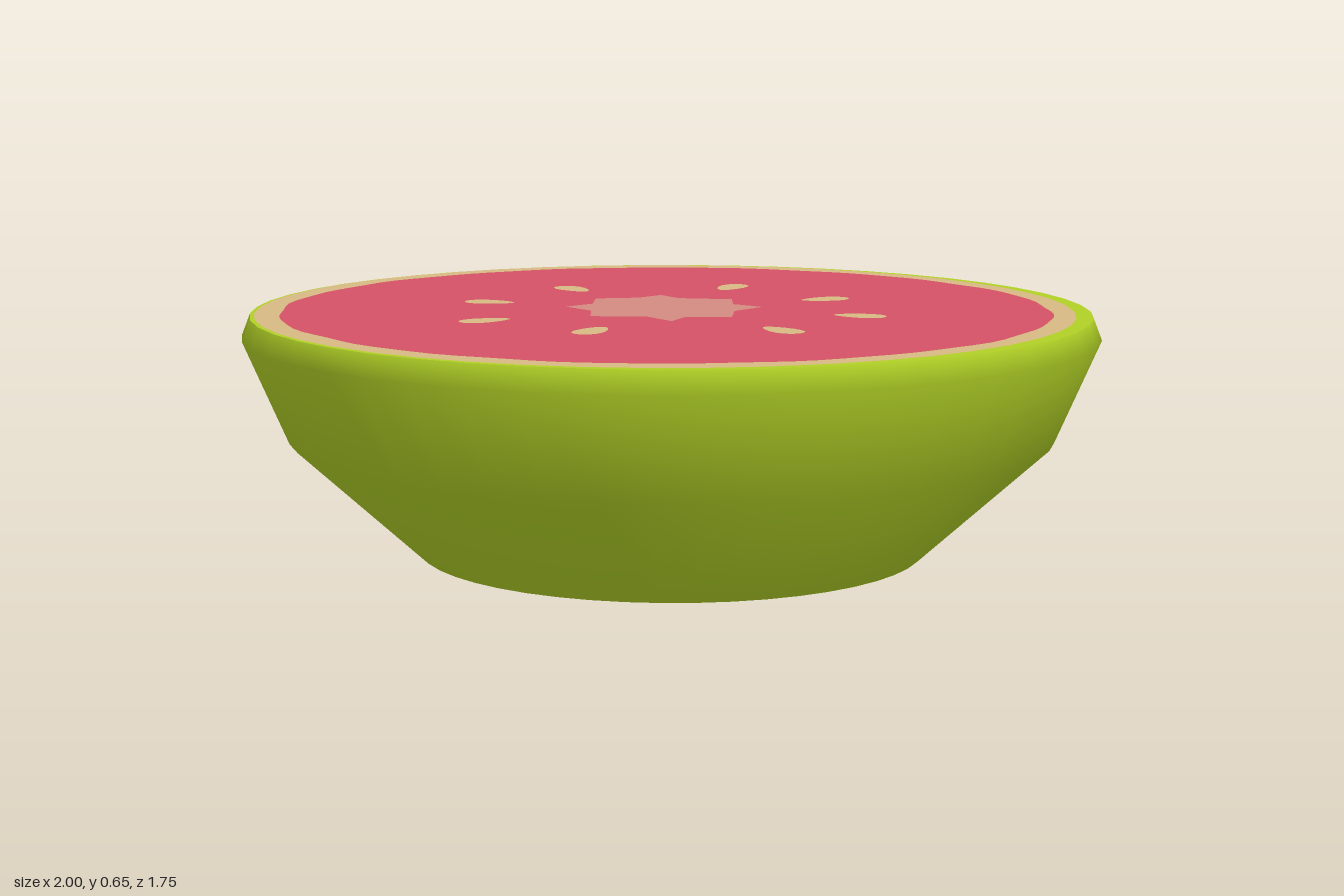
import * as THREE from 'three';

const SEGMENTS = 48;
const DEPTH = 0.873; // z squash of the whole fruit
const TOP = 0.65;

function material(name, color) {
  const m = new THREE.MeshStandardMaterial({ color });
  m.name = name;
  return m;
}

// Outline points are [x, z] pairs
function ellipse(cx, cz, rx, rz, n = SEGMENTS, wobble = 0) {
  return Array.from({ length: n }, (_, i) => {
    const a = (i / n) * Math.PI * 2;
    const k = 1 + wobble * Math.sin(a * 17) * Math.cos(a * 5);
    return [cx + rx * k * Math.cos(a), cz + rz * k * Math.sin(a)];
  });
}

// Teardrop seed, pointed end towards the middle
function seedOutline([cx, cz]) {
  const a = Math.atan2(cz + 0.03, cx + 0.01);
  return Array.from({ length: 16 }, (_, i) => {
    const t = (i / 16) * Math.PI * 2;
    const u = 0.062 * Math.cos(t);
    const v = 0.034 * Math.sin(t) * (1 + 0.3 * Math.cos(t));
    return [cx + u * Math.cos(a) - v * Math.sin(a), cz + u * Math.sin(a) + v * Math.cos(a)];
  });
}

// Flat face with holes, looking up or down
function flatFace(name, outline, holes, y, up, mat) {
  const s = up ? -1 : 1;
  const points = (list) => list.map(([x, z]) => new THREE.Vector2(x, s * z));
  const shape = new THREE.Shape(points(outline));
  shape.holes = holes.map((h) => new THREE.Path(points(h)));
  const geo = new THREE.ShapeGeometry(shape);
  geo.rotateX((s * Math.PI) / 2);
  geo.translate(0, y, 0);
  const mesh = new THREE.Mesh(geo, mat);
  mesh.name = name;
  return mesh;
}

function shell(name, profile, mat) {
  const geo = new THREE.LatheGeometry(profile.map(([r, y]) => new THREE.Vector2(r, y)), SEGMENTS);
  geo.scale(1, 1, DEPTH);
  const mesh = new THREE.Mesh(geo, mat);
  mesh.name = name;
  return mesh;
}

export function createModel() {
  const green = material('rind green', 0xb0d026);
  const cream = material('pith and seed cream', 0xd6b982);
  const pink = material('flesh pink', 0xd45266);
  const rose = material('core rose', 0xd38a80);

  const group = new THREE.Group();
  group.name = 'halfFruit';

  // Rind: smooth side wall and a separate, creased base
  group.add(shell('rindSide', [[0.6, 0.08], [0.9, 0.36], [1, 0.6], [0.98, TOP]], green));
  group.add(shell('rindBase', [[0.25, 0], [0.6, 0.08]], green));

  // Outlines on the cut face
  const rim = ellipse(0, 0, 0.98, 0.98 * DEPTH);
  const pith = ellipse(-0.015, -0.008, 0.957, 0.843);
  const flesh = ellipse(-0.013, -0.01, 0.9, 0.79, 96, 0.006);
  const star = [
    [-0.035, -0.25], [0.01, -0.195], [0.14, -0.18], [0.145, -0.095],
    [0.215, -0.05], [0.15, 0.02], [0.145, 0.12], [0.04, 0.12],
    [0.01, 0.19], [-0.05, 0.12], [-0.18, 0.12], [-0.185, 0.03],
    [-0.25, -0.035], [-0.19, -0.09], [-0.19, -0.18], [-0.085, -0.2],
  ];
  const seeds = [
    [-0.26, -0.355], [0.135, -0.405], [0.365, -0.195], [0.44, 0.085],
    [0.26, 0.315], [-0.16, 0.34], [-0.415, 0.195], [-0.44, -0.11],
  ].map(seedOutline);

  // Cut face
  group.add(flatFace('rindRim', rim, [pith], TOP, true, green));
  group.add(flatFace('pithRing', pith, [flesh], TOP, true, cream));
  group.add(flatFace('flesh', flesh, [star, ...seeds], TOP, true, pink));
  group.add(flatFace('core', star, [], TOP, true, rose));
  seeds.forEach((s, i) => group.add(flatFace('seed' + (i + 1), s, [], TOP, true, cream)));

  // Underside disc, with the core trimmed to fit inside it
  const disc = ellipse(0, 0, 0.25, 0.25 * DEPTH);
  const trimmed = star.map(([x, z]) => {
    const k = Math.min(1, 0.245 / Math.hypot(x, z / DEPTH));
    return [x * k, z * k];
  });
  group.add(flatFace('undersideFlesh', disc, [trimmed], 0, false, pink));
  group.add(flatFace('undersideCore', trimmed, [], 0, false, rose));

  return group;
}
